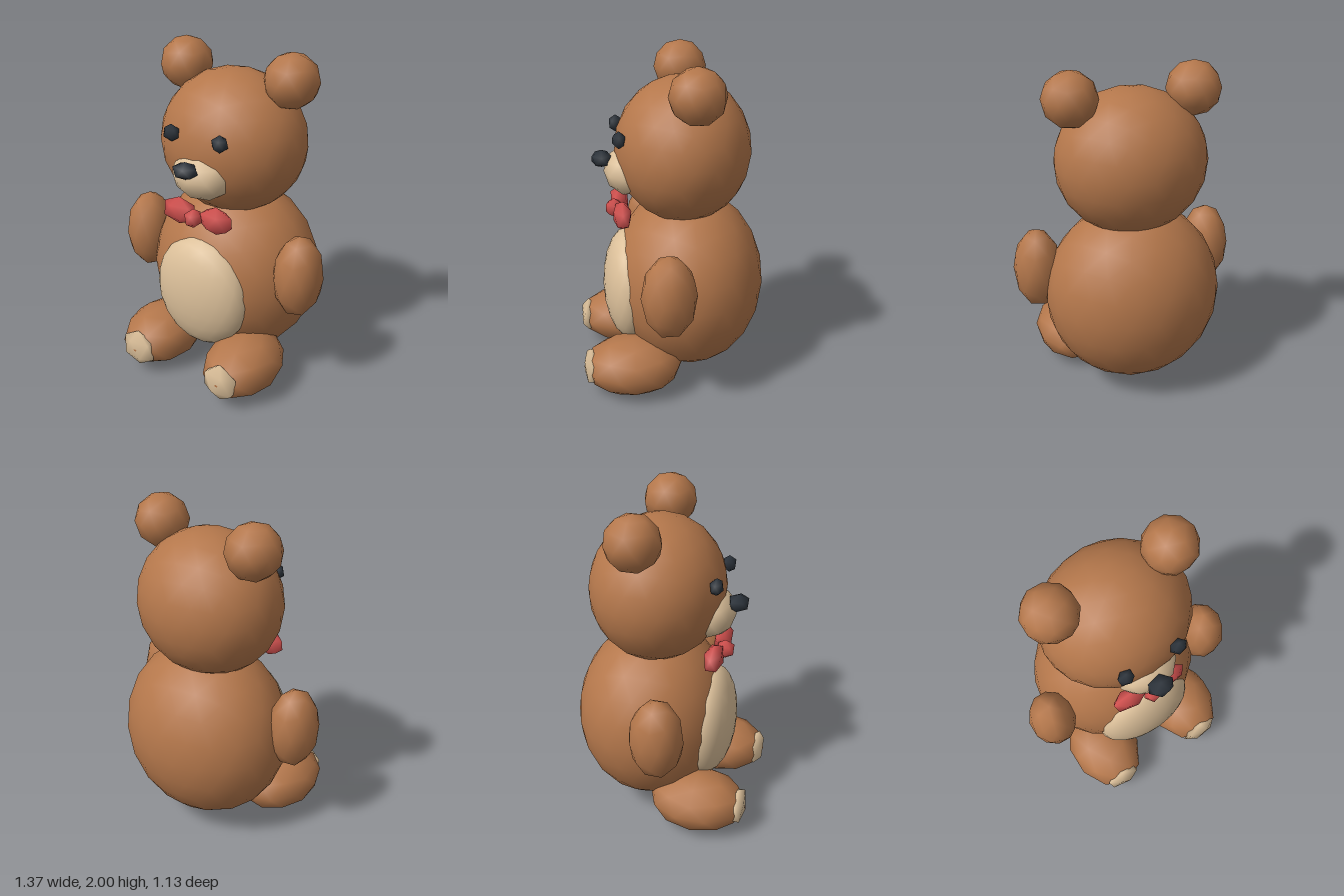
import * as THREE from 'three';

const material = (color) => new THREE.MeshStandardMaterial({ color });

// Unit ball of subdivided icosahedron type, one corner at the top, smooth normals
function ball(detail) {
  const g = new THREE.IcosahedronGeometry(1, detail);
  g.rotateZ(-Math.atan(2 / (1 + Math.sqrt(5))));
  g.setAttribute('normal', g.attributes.position.clone());
  return g;
}

export function createModel() {
  const model = new THREE.Group();
  model.name = 'teddyBear';

  const fur = material(0xb4774b);
  const cream = material(0xdcc09a);
  const dark = material(0x2b323a);
  const red = material(0xd2504e);
  const coarse = ball(0), medium = ball(1), fine = ball(3);

  function add(name, geometry, mat, position, radii) {
    const mesh = new THREE.Mesh(geometry, mat);
    mesh.name = name;
    mesh.position.set(...position);
    mesh.scale.set(...radii);
    model.add(mesh);
    return mesh;
  }

  // Left part on +x and its mirror image on -x
  function addPair(name, geometry, mat, [x, y, z], [rx, ry, rz]) {
    add('left' + name, geometry, mat, [x, y, z], [rx, ry, rz]);
    add('right' + name, geometry, mat, [-x, y, z], [-rx, ry, rz]);
  }

  // Torso and tummy patch
  add('body', fine, fur, [0, 0.61, -0.1], [0.535, 0.56, 0.465]);
  add('belly', fine, cream, [0, 0.573, 0.26], [0.315, 0.355, 0.16]);

  // Head and face
  add('head', fine, fur, [0, 1.44, -0.07], [0.45, 0.43, 0.4]);
  add('muzzle', medium, cream, [0, 1.32, 0.245], [0.19, 0.145, 0.15]);
  add('nose', coarse, dark, [0, 1.395, 0.405], [0.084, 0.052, 0.065]);
  addPair('Eye', coarse, dark, [0.165, 1.555, 0.31], [0.054, 0.052, 0.042]);
  addPair('Ear', medium, fur, [0.36, 1.84, -0.1], [0.16, 0.16, 0.16]);

  // Limbs and foot pads
  addPair('Arm', medium, fur, [0.548, 0.76, 0.075], [0.145, 0.255, 0.16]);
  addPair('Leg', medium, fur, [0.307, 0.18, 0.265], [0.225, 0.18, 0.298]);
  addPair('FootPad', coarse, cream, [0.307, 0.18, 0.517], [0.124, 0.122, 0.05]);

  // Bow tie
  addPair('BowWing', coarse, red, [0.13, 1.085, 0.3], [0.12, 0.086, 0.06]);
  add('bowKnot', coarse, red, [0, 1.083, 0.34], [0.056, 0.06, 0.058]);

  return model;
}
